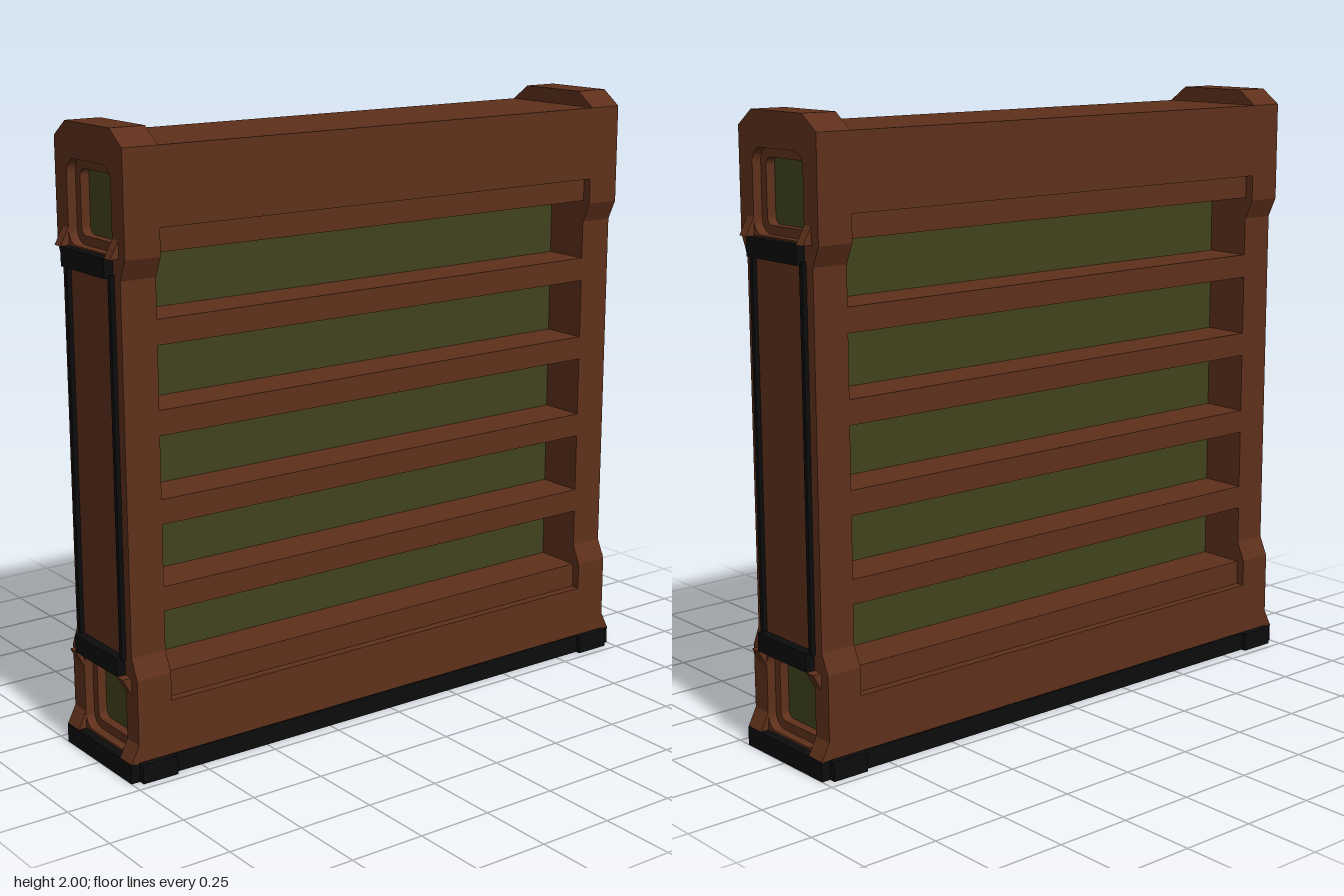
import * as THREE from 'three';

const BROWN = new THREE.MeshStandardMaterial({ color: 0x5e301b, flatShading: true });
const GREEN = new THREE.MeshStandardMaterial({ color: 0x41421d, flatShading: true });
const BLACK = new THREE.MeshStandardMaterial({ color: 0x0c0c0c, flatShading: true });

function add(parent, name, geometry, material) {
  const mesh = new THREE.Mesh(geometry, material);
  mesh.name = name;
  parent.add(mesh);
  return mesh;
}

// Box given by its limits on each axis
function box(parent, name, material, [x0, x1], [y0, y1], [z0, z1]) {
  const mesh = add(parent, name, new THREE.BoxGeometry(x1 - x0, y1 - y0, z1 - z0), material);
  mesh.position.set((x0 + x1) / 2, (y0 + y1) / 2, (z0 + z1) / 2);
  return mesh;
}

const polygon = (points) => new THREE.Shape(points.map(([x, y]) => new THREE.Vector2(x, y)));

// Extrusion of a (z, y) outline along x
function slab(shape, x0, x1) {
  return new THREE.ExtrudeGeometry(shape, { depth: x1 - x0, bevelEnabled: false, curveSegments: 5 })
    .rotateY(Math.PI / 2).translate(x0, 0, 0);
}

function roundedHole(w, y0, y1, r) {
  const p = new THREE.Path();
  p.moveTo(-w + r, y0);
  p.lineTo(w - r, y0);
  p.absarc(w - r, y0 + r, r, -Math.PI / 2, 0);
  p.absarc(w - r, y1 - r, r, 0, Math.PI / 2);
  p.absarc(-w + r, y1 - r, r, Math.PI / 2, Math.PI);
  p.absarc(-w + r, y0 + r, r, Math.PI, Math.PI * 1.5);
  return p;
}

// Post outline: wide foot and head, narrow waist, chamfered top
function postShape() {
  const half = [[0.2, 0.06], [0.2, 0.33], [0.17, 0.395], [0.17, 1.56], [0.2, 1.625], [0.2, 1.95], [0.13, 2]];
  return polygon([...half, ...half.map(([z, y]) => [-z, y]).reverse()]);
}

function createPost() {
  const post = new THREE.Group();

  // Stepped window surrounds at head and foot
  const outer = postShape();
  outer.holes.push(roundedHole(0.13, 1.63, 1.89, 0.045), roundedHole(0.13, 0.07, 0.325, 0.045));
  add(post, 'postFace', slab(outer, 0.94, 0.97), BROWN);
  const inner = postShape();
  inner.holes.push(roundedHole(0.102, 1.658, 1.86, 0.025), roundedHole(0.102, 0.1, 0.3, 0.025));
  add(post, 'postBody', slab(inner, 0.85, 0.94), BROWN);
  for (const y of [0.2, 1.76]) {
    box(post, 'windowPane', GREEN, [0.895, 0.91], [y - 0.11, y + 0.11], [-0.11, 0.11]);
  }

  // Raised border of the long side panel
  const border = polygon([[-0.137, 0.38], [0.137, 0.38], [0.137, 1.575], [-0.137, 1.575]]);
  border.holes.push(new THREE.Path([[-0.122, 0.39], [-0.122, 1.565], [0.122, 1.565], [0.122, 0.39]]
    .map(([z, y]) => new THREE.Vector2(z, y))));
  add(post, 'sidePanelBorder', slab(border, 0.965, 0.985), BLACK);

  // Black bands closing the side panel
  box(post, 'upperBand', BLACK, [0.96, 1], [1.565, 1.625], [-0.13, 0.13]);
  box(post, 'lowerBand', BLACK, [0.96, 1], [0.33, 0.39], [-0.13, 0.13]);

  // Small sloped cheeks beside the bands and the foot: thick edge, tip height, outer z
  for (const [edge, tip, z] of [[1.625, 1.68, 0.165], [0.33, 0.275, 0.165], [0.06, 0.12, 0.2]]) {
    const wedge = polygon([[0.965, edge], [1, edge], [0.97, tip], [0.965, tip]]);
    for (const z0 of [0.13, -z]) {
      const geometry = new THREE.ExtrudeGeometry(wedge, { depth: z - 0.13, bevelEnabled: false });
      add(post, 'cheek', geometry.translate(0, 0, z0), BROWN);
    }
  }
  return post;
}

export function createModel() {
  const model = new THREE.Group();
  model.name = 'slattedPanel';

  // Base plate, stepped around the posts
  const corner = [[0.845, 0.205], [0.845, 0.222], [0.97, 0.222], [0.97, 0.2], [1, 0.2]];
  const front = [...corner.map(([x, z]) => [-x, z]).reverse(), ...corner];
  const plate = polygon([...front, ...front.map(([x, z]) => [x, -z]).reverse()]);
  add(model, 'basePlate',
    new THREE.ExtrudeGeometry(plate, { depth: 0.063, bevelEnabled: false })
      .rotateX(-Math.PI / 2), BLACK);

  // Posts
  const leftPost = createPost();
  leftPost.name = 'leftPost';
  const rightPost = createPost();
  rightPost.name = 'rightPost';
  rightPost.rotation.y = Math.PI;
  model.add(leftPost, rightPost);

  // Header and sill
  const span = [-0.85, 0.85];
  box(model, 'header', BROWN, span, [1.71, 1.95], [-0.2, 0.2]);
  box(model, 'sill', BROWN, span, [0.06, 0.24], [-0.2, 0.2]);

  // Slats with a thin board behind the gaps
  const pitch = 0.2775;
  for (let i = 0; i < 6; i++) {
    const y = 0.245 + i * pitch;
    box(model, 'slat', BROWN, span, [i === 0 ? 0.24 : y, i === 5 ? 1.71 : y + 0.079], [-0.17, 0.17]);
  }
  box(model, 'infillBoard', GREEN, span, [0.3, 1.66], [-0.01, 0.01]);

  return model;
}
